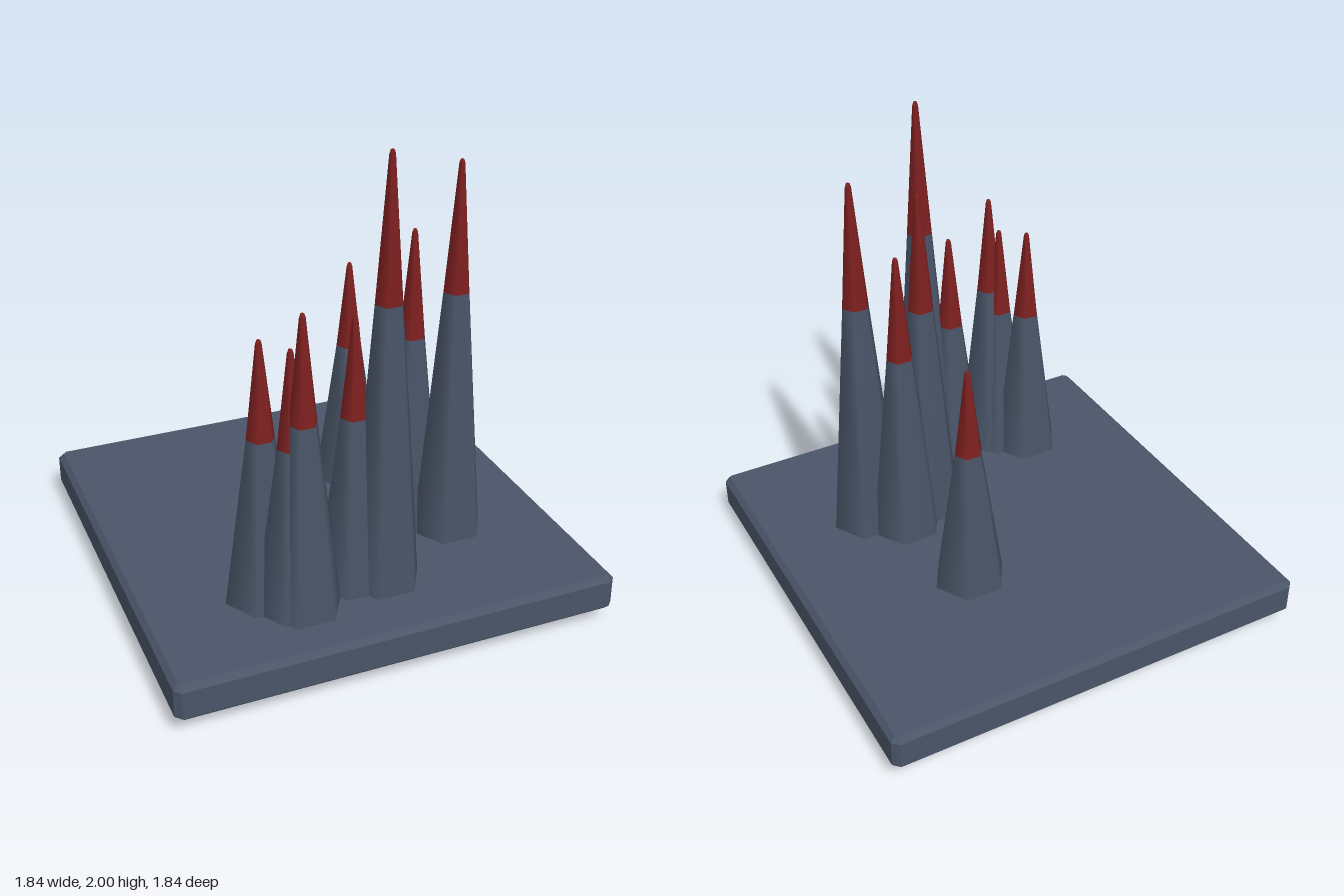
import * as THREE from 'three';

const slate = new THREE.MeshStandardMaterial({ color: 0x4a5568 });
slate.name = 'slate';
const darkRed = new THREE.MeshStandardMaterial({ color: 0x7f2020 });
darkRed.name = 'darkRed';

// Spikes as [x, z, tip height]
const SPIKES = [
  [0.05, 0.57, 2.0],
  [0.46, 0.32, 1.84],
  [0.19, 0.285, 1.745],
  [0.33, 0.205, 1.54],
  [-0.31, 0.625, 1.465],
  [-0.345, 0.595, 1.32],
  [-0.065, 0.53, 1.375],
  [-0.43, 0.5, 1.33],
  [0.25, -0.24, 1.245],
];

// Six-sided turned form with corners on the x axis
function hexLathe(points) {
  const profile = points.map(([r, y]) => new THREE.Vector2(r, y));
  return new THREE.LatheGeometry(profile, 6, Math.PI / 6);
}

// Square slab with every edge chamfered
function makePlate() {
  const bevel = 0.022, half = 0.92 - bevel, cut = 0.013;
  const shape = new THREE.Shape([
    [half - cut, -half], [half, -half + cut], [half, half - cut], [half - cut, half],
    [-half + cut, half], [-half, half - cut], [-half, -half + cut], [-half + cut, -half],
  ].map(([x, y]) => new THREE.Vector2(x, y)));
  const geometry = new THREE.ExtrudeGeometry(shape, {
    depth: 0.16 - 2 * bevel,
    bevelEnabled: true,
    bevelThickness: bevel,
    bevelSize: bevel,
    bevelSegments: 1,
  });
  geometry.rotateX(-Math.PI / 2);
  geometry.translate(0, 0.065 + bevel, 0);
  const plate = new THREE.Mesh(geometry, slate);
  plate.name = 'plate';
  return plate;
}

// Tapered spike: slate shaft poking through the plate, red rounded tip
function makeSpike([x, z, top]) {
  const split = 0.735 * top - 0.05;
  const splitRadius = 0.057;
  const spike = new THREE.Group();
  spike.name = 'spike';

  const shaft = new THREE.Mesh(hexLathe([
    [0, 0.003], [0.045, 0.014], [0.11, 0.045], [0.122, 0.065],
    [0.15, 0.13], [0.155, 0.225], [splitRadius, split],
  ]), slate);
  shaft.name = 'spikeShaft';

  const tip = new THREE.Mesh(hexLathe([
    [splitRadius, split], [0.013, top - 0.02], [0.008, top - 0.005], [0, top],
  ]), darkRed);
  tip.name = 'spikeTip';

  spike.add(shaft, tip);
  spike.position.set(x, 0, z);
  return spike;
}

export function createModel() {
  const model = new THREE.Group();
  model.name = 'spikePlate';
  model.add(makePlate());
  for (const data of SPIKES) model.add(makeSpike(data));
  return model;
}
